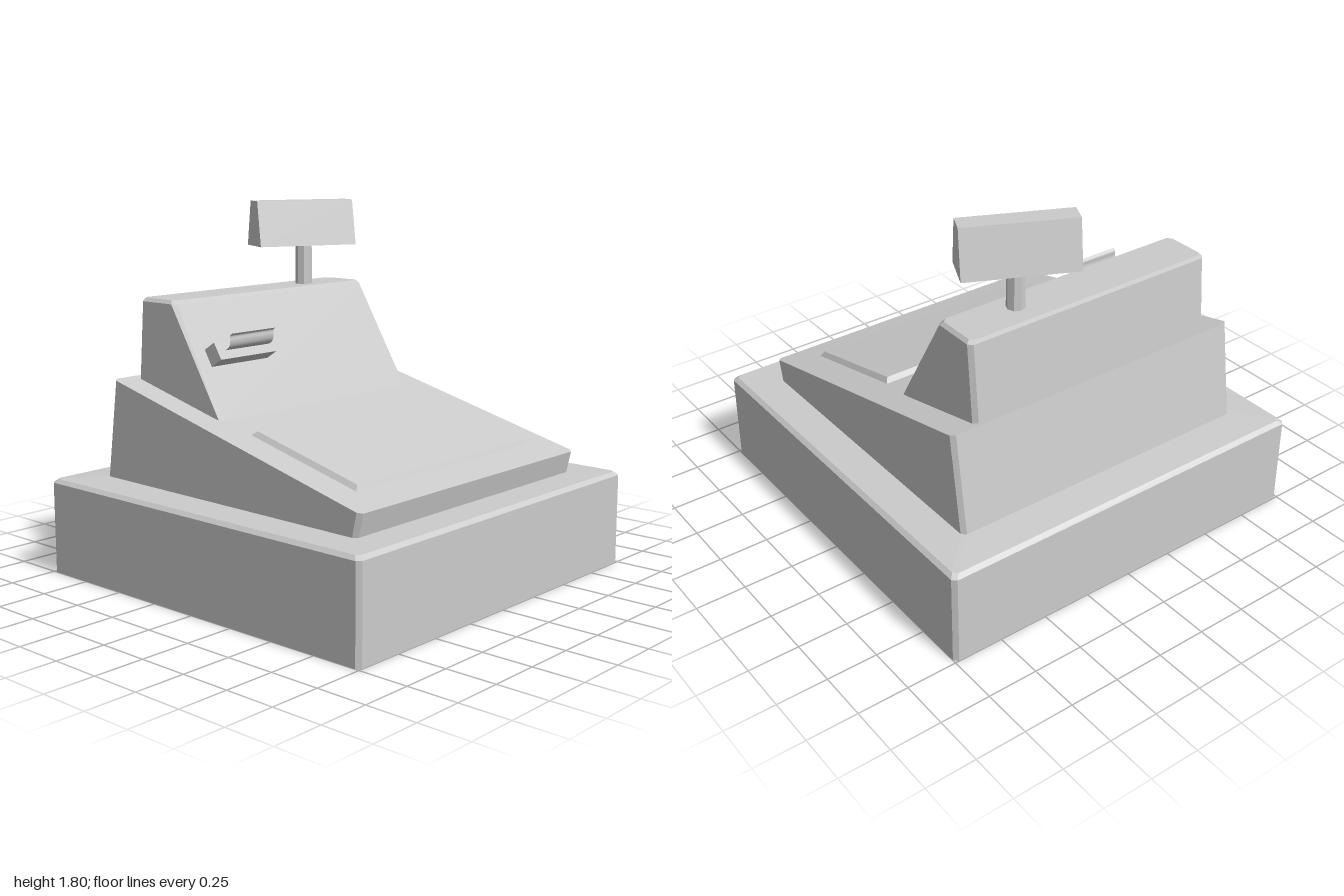
import * as THREE from 'three';

const grey = new THREE.MeshStandardMaterial({ color: 0xcccccc, flatShading: true });
const thin = new THREE.MeshStandardMaterial({ color: 0xcccccc, side: THREE.DoubleSide });

// Rectangular ring with cut corners, tilted from front height yf to back height yb
function ring(w, zf, yf, zb, yb, c = 0) {
  const corners = c
    ? [[w - c, zf], [w, zf - c], [w, zb + c], [w - c, zb], [c - w, zb], [-w, zb + c], [-w, zf - c], [c - w, zf]]
    : [[w, zf], [w, zb], [-w, zb], [-w, zf]];
  return corners.map(([x, z]) => [x, yf + (yb - yf) * (zf - z) / (zf - zb), z]);
}

// Closed solid through rings listed from bottom to top
function loft(rings) {
  const pos = [];
  const tri = (a, b, c) => pos.push(...a, ...b, ...c);
  const n = rings[0].length;
  for (let k = 0; k < rings.length - 1; k++) {
    const lo = rings[k], hi = rings[k + 1];
    for (let i = 0; i < n; i++) {
      const j = (i + 1) % n;
      tri(lo[i], lo[j], hi[j]);
      tri(lo[i], hi[j], hi[i]);
    }
  }
  const bottom = rings[0], top = rings[rings.length - 1];
  for (let i = 1; i < n - 1; i++) {
    tri(bottom[0], bottom[i + 1], bottom[i]);
    tri(top[0], top[i], top[i + 1]);
  }
  const geo = new THREE.BufferGeometry();
  geo.setAttribute('position', new THREE.Float32BufferAttribute(pos, 3));
  geo.computeVertexNormals();
  return geo;
}

export function createModel() {
  const model = new THREE.Group();
  model.name = 'cashRegister';
  const add = (name, geo, mat = grey) => {
    const mesh = new THREE.Mesh(geo, mat);
    mesh.name = name;
    model.add(mesh);
    return mesh;
  };

  // Cash drawer base with bevelled rim
  add('drawerBase', loft([
    ring(1, 1, 0, -1, 0, 0.02),
    ring(1, 1, 0.455, -1, 0.455, 0.02),
    ring(0.98, 0.98, 0.473, -0.98, 0.473, 0.02),
    ring(0.81, 0.81, 0.475, -0.8, 0.485, 0.02),
  ]));

  // Sloping wedge body
  add('body', loft([
    ring(0.81, 0.813, 0.465, -0.805, 0.465, 0.02),
    ring(0.81, 0.84, 0.583, -0.733, 0.973, 0.02),
  ]));

  // Raised keyboard panel
  add('keyboardPanel', loft([
    ring(0.655, 0.685, 0.61, 0.03, 0.773),
    ring(0.63, 0.665, 0.65, 0.065, 0.8),
  ]));

  // Upper housing with slanted front
  add('upperHousing', loft([
    ring(0.675, -0.125, 0.825, -0.713, 0.94, 0.02),
    ring(0.675, -0.438, 1.345, -0.68, 1.345, 0.02),
    ring(0.66, -0.45, 1.362, -0.672, 1.362, 0.02),
  ]));

  // Receipt printer on the slanted face
  const printer = add('receiptPrinter', new THREE.BoxGeometry(0.37, 0.09, 0.09));
  printer.position.set(-0.415, 1.113, -0.263);
  printer.rotation.x = -0.56;

  // Curled paper strip
  const curl = new THREE.CatmullRomCurve3([
    [1.135, -0.25], [1.138, -0.215], [1.158, -0.188], [1.187, -0.18], [1.208, -0.182], [1.22, -0.17],
  ].map(([y, z]) => new THREE.Vector3(0, y, z)));
  const paper = new THREE.PlaneGeometry(0.29, 1, 1, 14);
  const p = paper.attributes.position;
  for (let i = 0; i < p.count; i++) {
    const q = curl.getPoint(THREE.MathUtils.clamp(p.getY(i) + 0.5, 0, 1));
    p.setXYZ(i, p.getX(i) - 0.415, q.y, q.z);
  }
  paper.computeVertexNormals();
  add('receiptPaper', paper, thin);

  // Display pole
  add('displayPole', new THREE.CylinderGeometry(0.043, 0.043, 0.24, 8))
    .position.set(0.335, 1.465, -0.548);

  // Turned customer display, narrower at the top
  const display = add('customerDisplay', loft([
    ring(0.265, 0.1, 1.565, -0.1, 1.565),
    ring(0.265, 0.05, 1.797, -0.05, 1.797),
  ]));
  display.position.set(0.335, 0, -0.56);
  display.rotation.y = -0.44;

  return model;
}
